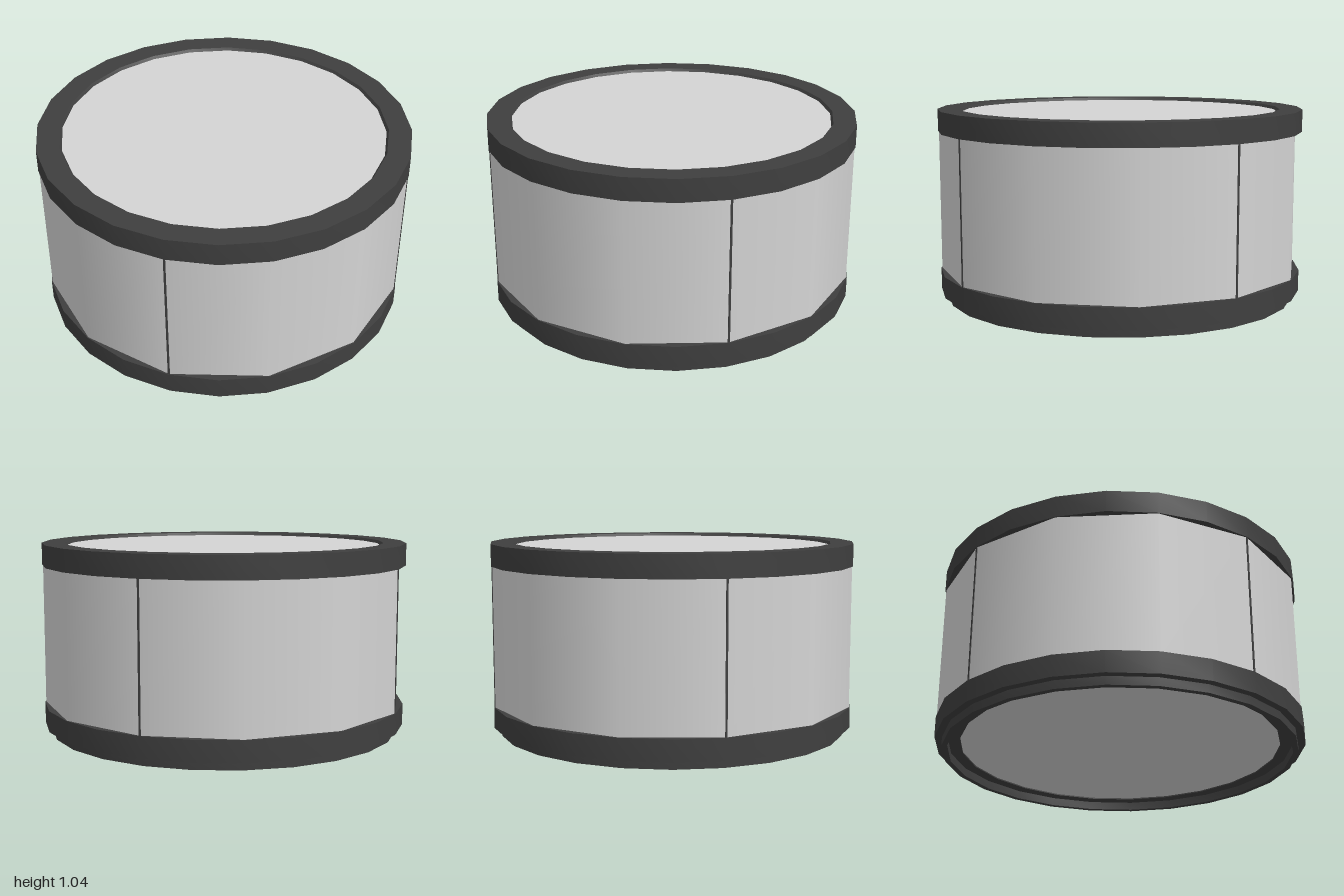
import * as THREE from 'three';
import { toCreasedNormals } from 'three/addons/utils/BufferGeometryUtils.js';

const SIDES = 24;

export function createModel() {
  const group = new THREE.Group();
  const dark = new THREE.MeshStandardMaterial({ color: 0x3f3f3f });
  dark.name = 'darkTrim';
  const light = new THREE.MeshStandardMaterial({ color: 0xd4d4d4 });
  light.name = 'lightGrey';

  const add = (name, geometry, material) => {
    const mesh = new THREE.Mesh(geometry, material);
    mesh.name = name;
    group.add(mesh);
    return mesh;
  };

  // closed profile of [radius, height] points, counter-clockwise
  const ring = (name, profile) => {
    const points = [...profile, profile[0]].map(([r, y]) => new THREE.Vector2(r, y));
    add(name, toCreasedNormals(new THREE.LatheGeometry(points, SIDES), 0.5), dark);
  };

  // hoops at the top and bottom, with a slim foot below
  ring('topHoop', [[0.865, 0.925], [1, 0.925], [1, 1.045], [0.877, 1.045], [0.865, 1.028]]);
  ring('bottomHoop', [[0.865, 0.045], [1, 0.045], [1, 0.16], [0.865, 0.16]]);
  ring('footRing', [[0.93, 0], [0.96, 0], [0.96, 0.05], [0.93, 0.05]]);

  // flat skins closing both ends
  const skin = (name, y, tilt) => {
    const mesh = add(name, new THREE.CircleGeometry(0.868, SIDES), light);
    mesh.rotation.x = tilt;
    mesh.position.y = y;
  };
  skin('topSkin', 1.03, -Math.PI / 2);
  skin('bottomSkin', 0.052, Math.PI / 2);

  // four wall panels of three facets each, with a dark seam between them
  for (let i = 0; i < 4; i++) {
    const angle = Math.PI / 4 + (i * Math.PI) / 2;
    const panel = add('wallPanel' + (i + 1),
      new THREE.CylinderGeometry(0.995, 0.995, 0.86, 3, 1, true, angle, Math.PI / 2), light);
    panel.geometry.dispose();
    panel.geometry = new THREE.CylinderGeometry(0.995, 0.995, 0.805, 3, 1, true, angle, Math.PI / 2);
    panel.position.y = 0.5425;

    const seam = add('wallSeam' + (i + 1), new THREE.BoxGeometry(0.011, 0.765, 0.008), dark);
    seam.position.set(0.993 * Math.sin(angle), 0.5425, 0.993 * Math.cos(angle));
    seam.rotation.y = angle;
  }

  return group;
}
